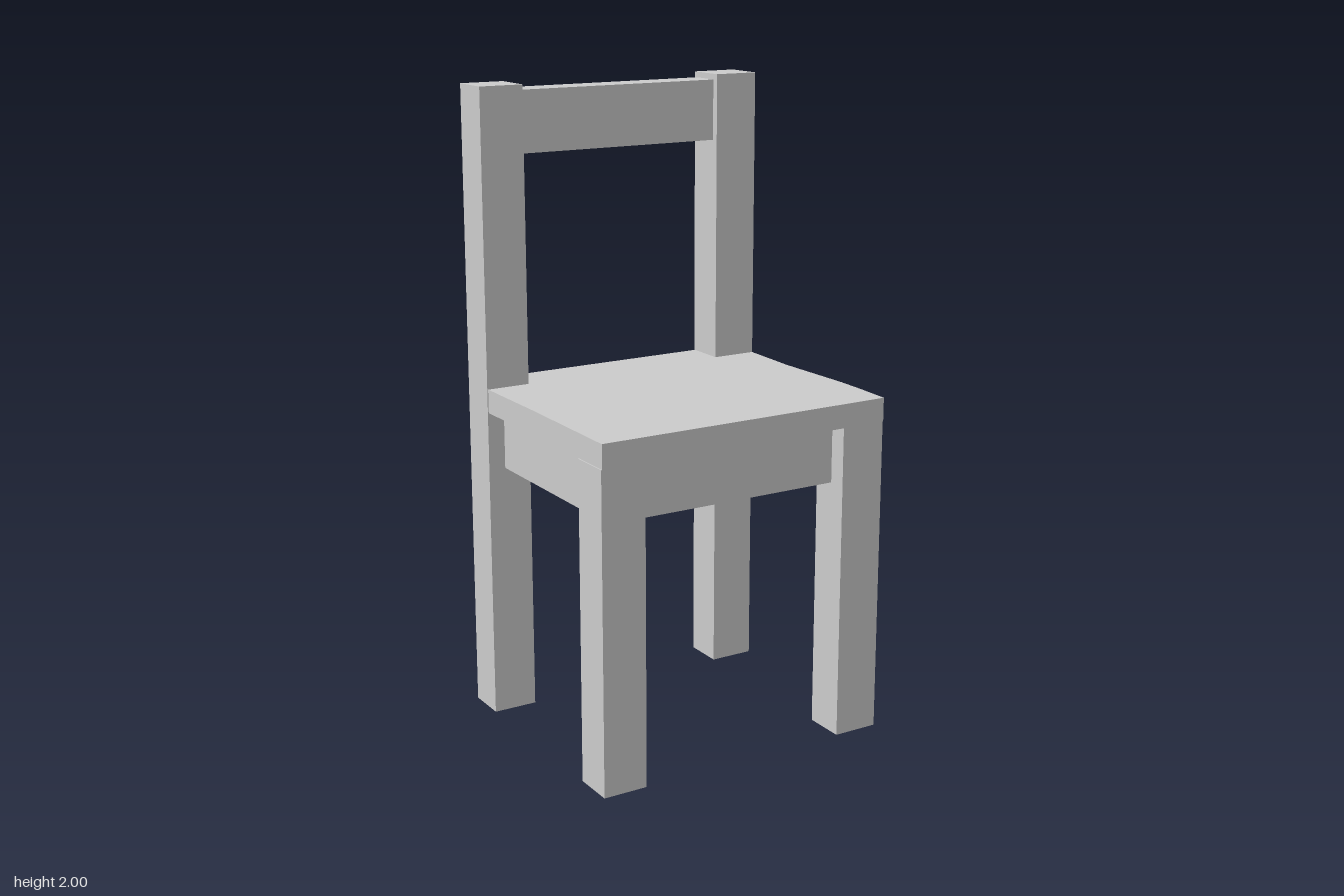
import * as THREE from 'three';

const material = new THREE.MeshStandardMaterial({ color: 0xcccccc, flatShading: true });

// Box given by its extents along each axis
function bar(name, [x0, x1], [y0, y1], [z0, z1]) {
  const geometry = new THREE.BoxGeometry(x1 - x0, y1 - y0, z1 - z0);
  geometry.translate((x0 + x1) / 2, (y0 + y1) / 2, (z0 + z1) / 2);
  const mesh = new THREE.Mesh(geometry, material);
  mesh.name = name;
  return mesh;
}

export function createModel() {
  const chair = new THREE.Group();
  chair.name = 'chair';

  const seatBottom = 1.0, seatTop = 1.075, apronBottom = 0.815;
  const right = [-0.495, -0.352], left = [0.341, 0.487];
  const front = [0.29, 0.423], back = [-0.425, -0.293];
  const between = [right[1], left[0]];
  const depth = [back[1], front[0]];

  // Short front legs and tall back posts
  for (const [side, x] of [['left', left], ['right', right]]) {
    chair.add(bar(side + 'FrontLeg', x, [0, seatBottom], front));
    chair.add(bar(side + 'BackPost', x, [0, 2], back));
  }

  // Seat slab, notched around the posts, with a slightly wavy left edge
  const outline = [
    [right[0] + 0.003, 0.423], [0.489, 0.423], [0.494, 0.3], [0.495, 0.2], [0.489, 0.08],
    [0.481, -0.08], [0.487, back[1]], [left[0], back[1]], [left[0], -0.42],
    [right[1], -0.42], [right[1], back[1]], [-0.492, back[1]], [-0.489, 0],
  ];
  // Shape y becomes -z once the slab is laid flat
  const shape = new THREE.Shape(outline.map(([x, z]) => new THREE.Vector2(x, -z)));
  const slab = new THREE.ExtrudeGeometry(shape, { depth: seatTop - seatBottom, bevelEnabled: false });
  slab.rotateX(-Math.PI / 2);
  slab.translate(0, seatBottom, 0);
  const seat = new THREE.Mesh(slab, material);
  seat.name = 'seat';
  chair.add(seat);

  // Aprons under the seat, set in from the outer faces of the legs
  const apronY = [apronBottom, seatBottom];
  chair.add(bar('frontApron', between, apronY, [0.292, 0.365]));
  chair.add(bar('backApron', between, apronY, [-0.348, -0.295]));
  chair.add(bar('leftApron', [0.347, 0.425], apronY, depth));
  chair.add(bar('rightApron', [-0.44, -0.362], apronY, depth));

  // Top rail of the backrest
  chair.add(bar('backRail', between, [1.79, 1.982], [-0.413, -0.315]));

  return chair;
}
